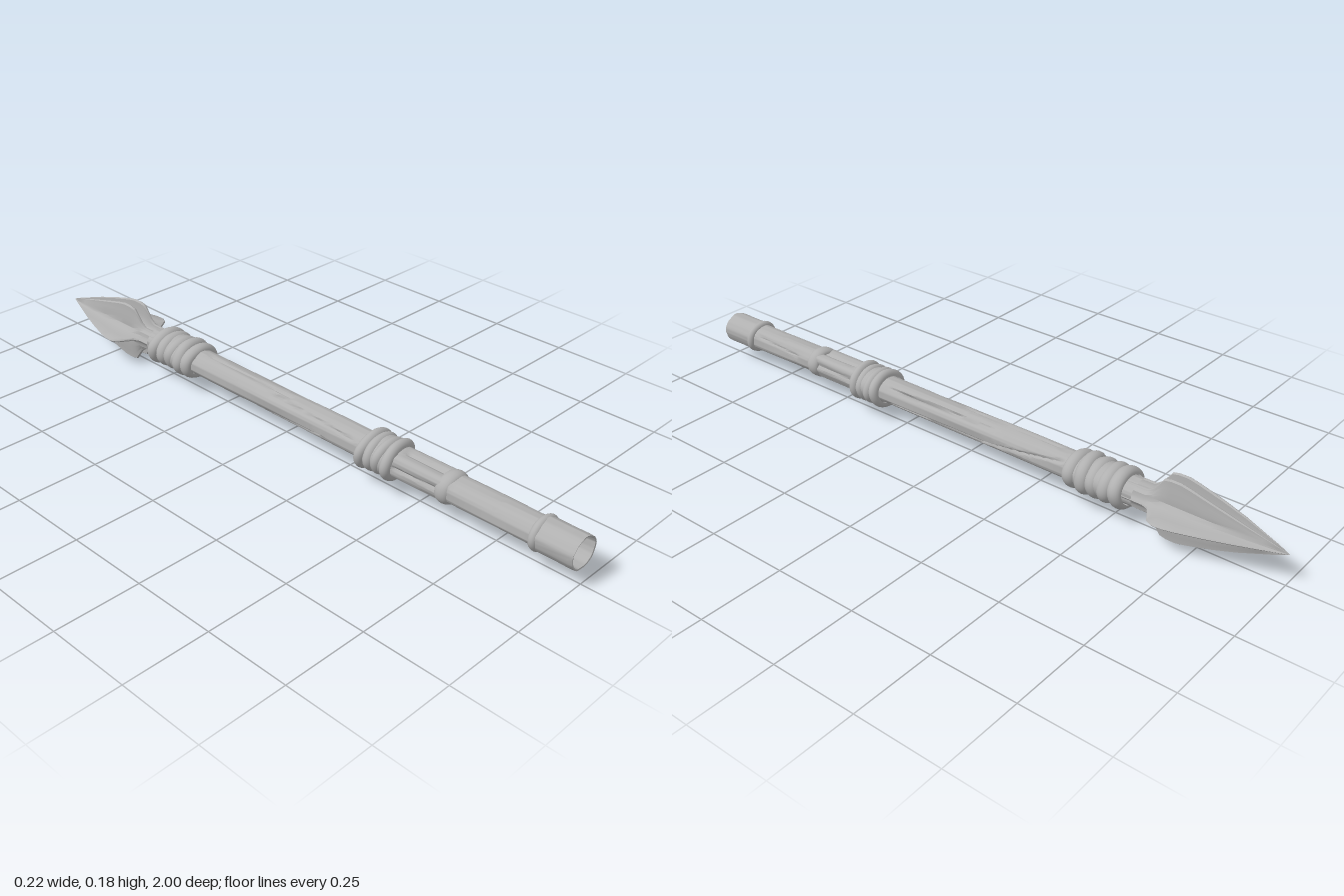
import * as THREE from 'three';
import { toCreasedNormals } from 'three/addons/utils/BufferGeometryUtils.js';

const AXIS_Y = 0.092;
const stone = new THREE.MeshStandardMaterial({ color: 0xb0b0b0 });
stone.name = 'plain grey';
stone.side = THREE.DoubleSide;

// Skin a list of closed rings (each an array of [x, y, z], anticlockwise seen from +z)
function loft(rings, crease = 0.9) {
  const n = rings[0].length, index = [];
  for (let i = 0; i < rings.length - 1; i++) {
    for (let j = 0; j < n; j++) {
      const k = (j + 1) % n, a = i * n + j, b = i * n + k;
      index.push(a, b, a + n, b, b + n, a + n);
    }
  }
  const g = new THREE.BufferGeometry();
  g.setAttribute('position', new THREE.Float32BufferAttribute(rings.flat(2), 3));
  g.setIndex(index);
  g.computeVertexNormals();
  return crease ? toCreasedNormals(g, crease) : g;
}

// Oval ring; wobble(angle) scales the radius, tilt(angle) shifts z
function oval(rx, ry, z, n, wobble = () => 1, tilt = () => 0) {
  return Array.from({ length: n }, (_, j) => {
    const a = (j / n) * Math.PI * 2, w = wobble(a);
    return [Math.cos(a) * rx * w, Math.sin(a) * ry * w, z + tilt(a)];
  });
}

function part(name, geometry) {
  const mesh = new THREE.Mesh(geometry, stone);
  mesh.name = name;
  return mesh;
}

// Grain marks: angle, z start, z end, twist, depth (negative = raised splint), width
const MARKS = [
  [-0.6, -0.05, -0.36, 1.3, 0.16, 0.12], [0.75, 0.26, -0.12, 0.1, 0.16, 0.1],
  [1.8, 0.05, -0.34, -0.15, 0.16, 0.1], [0.75, 0.3, 0.0, 0.15, 0.12, 0.08],
  [-0.55, 0.3, -0.1, 0.1, 0.14, 0.1], [3.5, 0.2, -0.3, 0.9, 0.16, 0.12],
  [2.6, 0.3, -0.05, -0.5, 0.14, 0.1], [4.6, 0.2, -0.35, 0.6, 0.16, 0.12],
  [5.2, 0.3, -0.02, -0.4, 0.12, 0.1], [1.57, 0.44, 0.6, 0, 0.3, 0.25],
  [0.1, 0.4, 0.62, 0.2, 0.2, 0.2], [3.2, 0.42, 0.6, -0.2, 0.2, 0.2],
  [0.8, 0.4, 0.62, 0, -0.14, 0.3], [2.4, 0.4, 0.62, 0, -0.14, 0.3],
  [4.0, 0.4, 0.62, 0.1, -0.1, 0.35], [5.4, 0.4, 0.62, -0.1, -0.1, 0.35],
  [0.3, 0.66, 0.86, 0.3, 0.12, 0.12], [4.9, 0.64, 0.85, 0.4, 0.12, 0.12],
];

function grain(a, z) {
  let w = 1 + 0.02 * Math.sin(5 * a + 4 * z + Math.sin(9 * z)) + 0.015 * Math.sin(3 * a - 11 * z);
  for (const [angle, z0, z1, twist, depth, width] of MARKS) {
    const t = (z - z0) / (z1 - z0);
    if (t <= 0 || t >= 1) continue;
    const d = a - angle - twist * t;
    const off = Math.atan2(Math.sin(d), Math.cos(d)) / width;
    w -= depth * Math.min(1, 4 * Math.sin(Math.PI * t)) * Math.exp(-off * off);
  }
  return w;
}

function shaft() {
  const rings = [];
  for (let i = 0; i <= 150; i++) {
    const z = -0.57 + (i / 150) * 1.49;
    rings.push(oval(0.045, 0.0385, z, 56, (a) => grain(a, z)));
  }
  // Broken lump closing the end inside the socket
  for (const [s, dz] of [[0.85, 0.02], [0.6, 0.04], [0.35, 0.05], [0.01, 0.054]]) {
    rings.push(oval(0.045 * s, 0.0385 * s, 0.92 + dz, 56, (a) => 1 + 0.1 * Math.sin(3 * a + 1)));
  }
  return part('shaft', loft(rings, 0.8));
}

// Hollow socket at the butt, with a thin slightly dented wall
function buttSocket() {
  const dent = (a) => 1 + 0.02 * Math.sin(5 * a) + 0.012 * Math.sin(9 * a + 1);
  const profile = [[0.88, 0.8], [0.885, 1], [0.94, 0.985], [0.985, 1], [0.999, 0.98],
    [0.998, 0.9], [0.97, 0.86], [0.91, 0.8]];
  return part('buttSocket', loft(profile.map(([z, s]) => oval(0.051 * s, 0.046 * s, z, 40, dent))));
}

// Rounded band around the shaft, optionally tilted and lumpy
function band(name, z, rx, ry, tube, half, lean = 0, phase = 0) {
  const rings = [];
  for (let i = 0; i <= 10; i++) {
    const t = Math.PI * (i / 10), bulge = Math.sin(t) * tube;
    rings.push(oval(rx - tube + bulge, ry - tube + bulge, z - Math.cos(t) * half, 48,
      (a) => 1 + 0.018 * Math.sin(2 * a + phase) + 0.008 * Math.sin(5 * a + 2 * phase),
      (a) => lean * Math.sin(a + phase)));
  }
  return part(name, loft(rings, 0));
}

// Cord wrapping: a sleeve with several leaning coils
function wrapping(name, z0, z1, coils) {
  const group = new THREE.Group();
  group.name = name;
  const pitch = (z1 - z0) / coils;
  group.add(band(name + 'Sleeve', (z0 + z1) / 2, 0.062, 0.049, 0.012, (z1 - z0) / 2 - 0.008));
  for (let i = 0; i < coils; i++) {
    const size = 0.003 * Math.sin(i * 2.3 + 1);
    group.add(band(name + 'Coil', z0 + pitch * (i + 0.5), 0.069 + size, 0.055 + size * 0.7,
      0.018, pitch * 0.56, 0.006 * Math.cos(i * 1.9), i * 1.7));
  }
  return group;
}

// Six-finned head: side fins plus a close pair above and below
function spearHead() {
  // z, side reach, vertical reach, core scale, pair offset
  const stations = [
    [-0.53, 0.045, 0.035, 1.1, 0.018], [-0.605, 0.045, 0.036, 1.1, 0.018],
    [-0.625, 0.054, 0.05, 1.05, 0.019], [-0.652, 0.098, 0.087, 1, 0.02],
    [-0.672, 0.109, 0.0915, 1, 0.02], [-0.70, 0.107, 0.0915, 1, 0.02],
    [-0.73, 0.1, 0.085, 0.97, 0.0195], [-0.80, 0.078, 0.066, 0.86, 0.018],
    [-0.87, 0.053, 0.045, 0.7, 0.014], [-0.93, 0.029, 0.025, 0.45, 0.008],
    [-0.97, 0.013, 0.012, 0.22, 0.004], [-1, 0.0005, 0.0005, 0.005, 0.0001],
  ];
  const mix = (a, b, t) => a + (b - a) * t;
  const rings = stations.map(([z, H, V, c, p]) => {
    const vx = 0.031 * c, vy = 0.023 * c, floor = 0.018 * c, e = p * 0.33;
    const quarter = [
      [H, 0], [H * 0.96, 0.004 * c], [mix(vx, H, 0.55), 0.0065 * c], [mix(vx, H, 0.15), 0.012 * c],
      [vx, vy], [p * 1.55, mix(vy, V, 0.3)], [p + e, mix(vy, V, 0.65)], [p + e * 0.8, V * 0.96],
      [p, V], [p - e * 0.8, V * 0.96], [p - e, mix(floor, V, 0.5)], [p * 0.4, mix(floor, V, 0.1)],
    ];
    const half = [...quarter, [0, floor],
      ...quarter.slice(1).reverse().map(([x, y]) => [-x, y])];
    return [...half, ...half.map(([x, y]) => [-x, -y])].map(([x, y]) => [x, y, z]);
  });
  return part('spearHead', loft(rings.reverse(), 0.7));
}

export function createModel() {
  const model = new THREE.Group();
  model.name = 'spear';
  const body = new THREE.Group();
  body.name = 'spearBody';
  body.position.y = AXIS_Y;
  body.add(
    shaft(),
    spearHead(),
    wrapping('headWrapping', -0.545, -0.36, 5),
    wrapping('gripWrapping', 0.315, 0.43, 4),
    band('gripRing', 0.6, 0.052, 0.047, 0.014, 0.022, 0.003, 1),
    band('socketRing', 0.883, 0.056, 0.05, 0.014, 0.013, 0.001, 2),
    buttSocket(),
  );
  model.add(body);
  return model;
}
